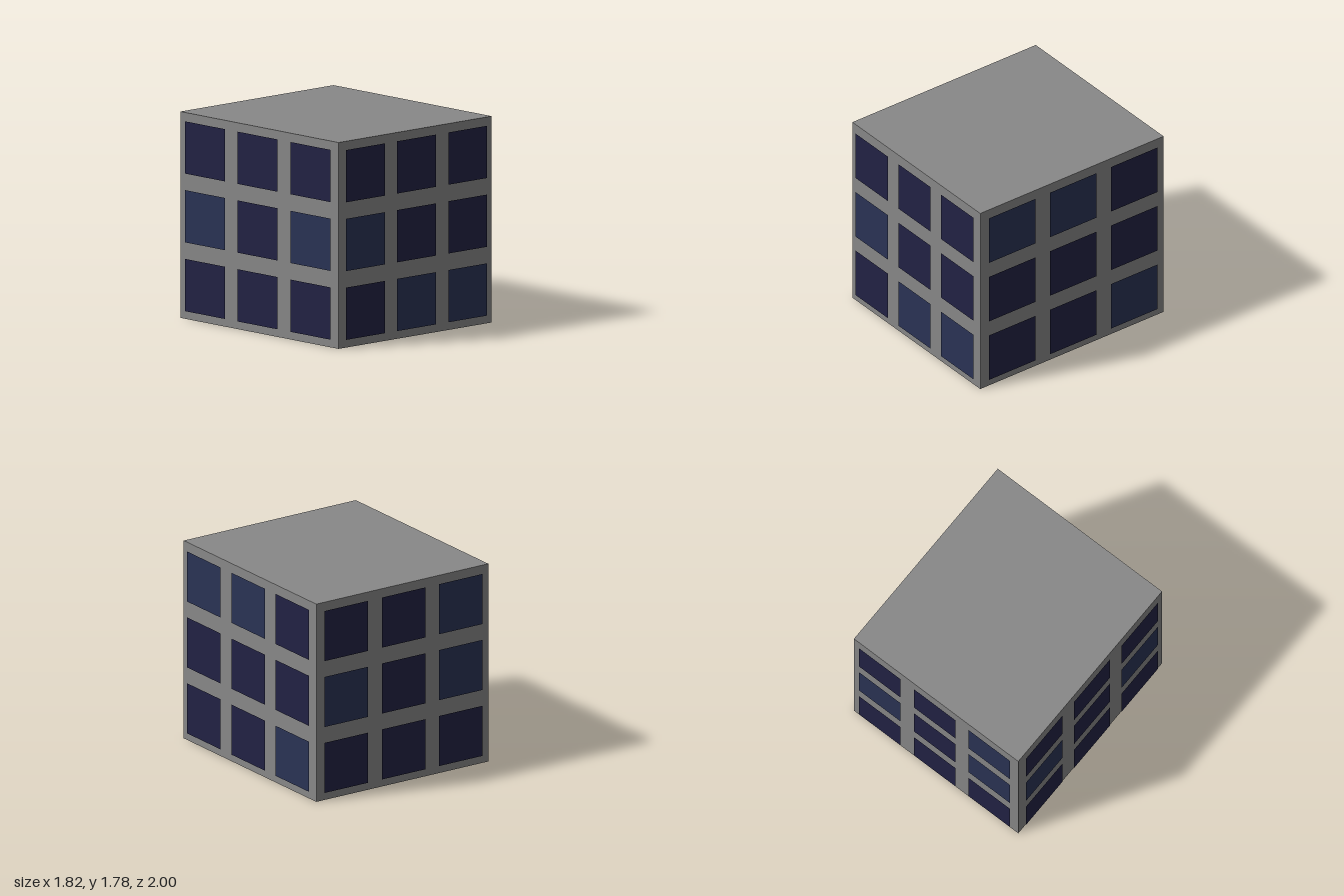
import * as THREE from 'three';

const WIDTH = 1.78, HEIGHT = 1.78, DEPTH = 1.96;
const GAP = 0.02;   // windows float just off the wall
const FILL = 0.76;  // share of each cell taken by its window

// Window rows from top to bottom, seen from outside: D = dark, L = lighter
const WALLS = [
  { name: 'front', turn: 0, width: WIDTH, out: DEPTH / 2, rows: ['DDD', 'LDD', 'DLL'] },
  { name: 'left', turn: Math.PI / 2, width: DEPTH, out: WIDTH / 2, rows: ['LLD', 'DDD', 'DDL'] },
  { name: 'back', turn: Math.PI, width: WIDTH, out: DEPTH / 2, rows: ['DDL', 'LDL', 'DDD'] },
  { name: 'right', turn: -Math.PI / 2, width: DEPTH, out: WIDTH / 2, rows: ['DDD', 'LDL', 'DDD'] },
];

export function createModel() {
  const model = new THREE.Group();
  model.name = 'building';

  const wallMaterial = new THREE.MeshStandardMaterial({ color: 0x888888 });
  const glass = {
    D: new THREE.MeshStandardMaterial({ color: 0x222244 }),
    L: new THREE.MeshStandardMaterial({ color: 0x2a3355 }),
  };

  // Main block
  const block = new THREE.Mesh(new THREE.BoxGeometry(WIDTH, HEIGHT, DEPTH), wallMaterial);
  block.name = 'block';
  block.position.y = HEIGHT / 2;
  model.add(block);

  // A 3 x 3 grid of flat windows on each wall
  for (const { name, turn, width, out, rows } of WALLS) {
    const wall = new THREE.Group();
    wall.name = `${name}Windows`;
    wall.rotation.y = turn;
    const cellW = width / 3, cellH = HEIGHT / 3;
    const pane = new THREE.PlaneGeometry(cellW * FILL, cellH * FILL);
    rows.forEach((row, r) => [...row].forEach((tone, c) => {
      const mesh = new THREE.Mesh(pane, glass[tone]);
      mesh.name = 'window';
      mesh.position.set((c - 1) * cellW, (2.5 - r) * cellH, out + GAP);
      wall.add(mesh);
    }));
    model.add(wall);
  }
  return model;
}
